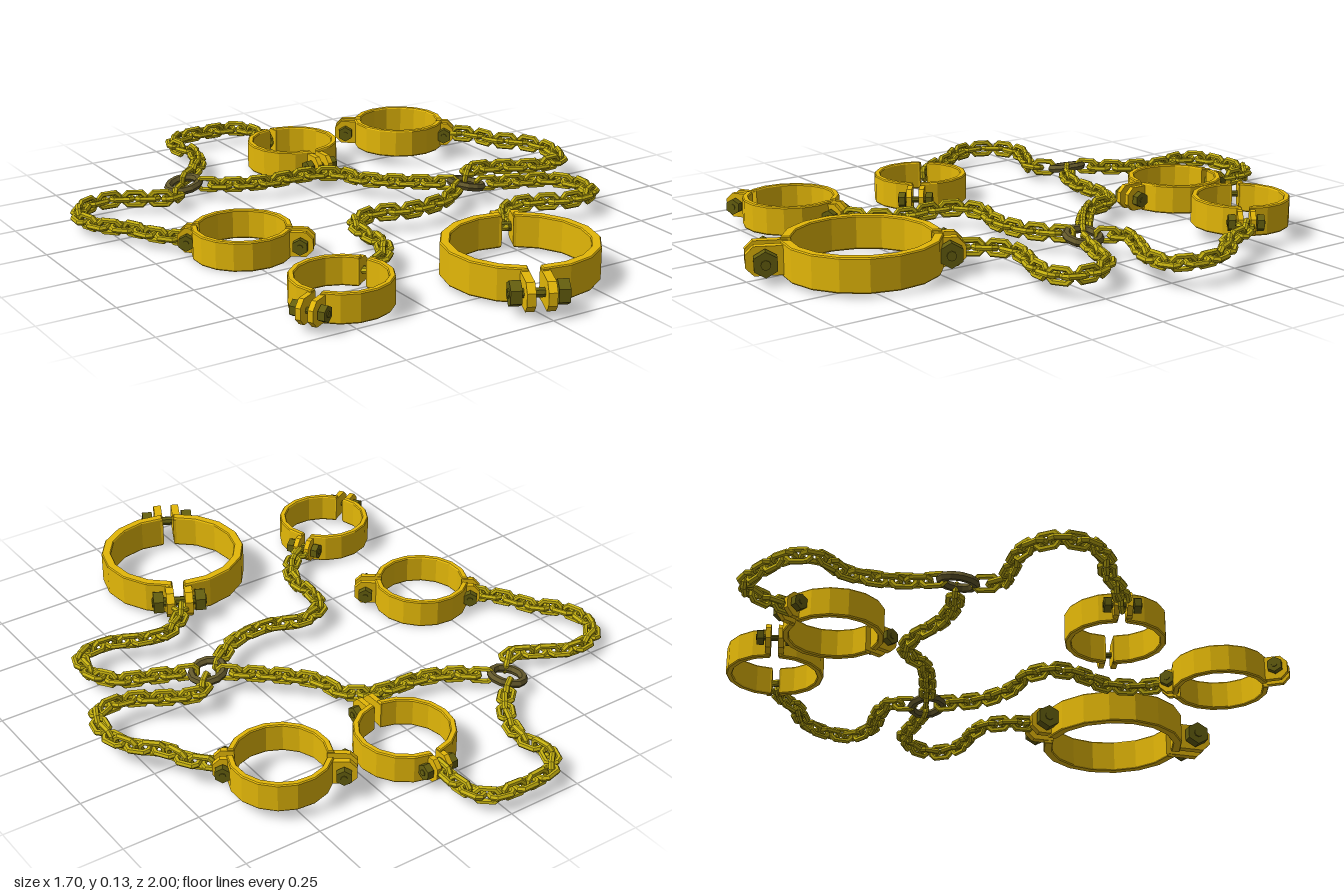
import * as THREE from 'three';
import { mergeGeometries } from 'three/addons/utils/BufferGeometryUtils.js';

const material = (color) => new THREE.MeshStandardMaterial({ color, flatShading: true });
const gold = material(0xe4b808);
const chainGold = material(0xc4b010);
const boltMetal = material(0x66600f);
const ringMetal = material(0x655a2c);

function addMesh(parent, name, geometry, mat) {
  const mesh = new THREE.Mesh(geometry, mat);
  mesh.name = name;
  parent.add(mesh);
  return mesh;
}

// Elongated octagonal link lying along z
function linkGeometry() {
  const g = new THREE.TorusGeometry(0.0225, 0.0095, 6, 8);
  g.rotateZ(Math.PI / 8);
  const p = g.attributes.position;
  for (let i = 0; i < p.count; i++) p.setX(i, p.getX(i) + Math.sign(p.getX(i)) * 0.014);
  return g.rotateY(Math.PI / 2);
}

// Chain of alternately flat and upright links, along a path of [x, z] points
function chain(name, points, yStart, yEnd) {
  const last = points.length - 1;
  const curve = new THREE.CatmullRomCurve3(points.map(([x, z], i) =>
    new THREE.Vector3(x, yStart + (yEnd - yStart) * i / last, z)));
  const count = Math.round(curve.getLength() / 0.043);
  const link = linkGeometry();
  const pose = new THREE.Object3D();
  const links = [];
  for (let i = 0; i < count; i++) {
    const u = (i + 0.5) / count;
    pose.position.copy(curve.getPointAt(u));
    pose.lookAt(pose.position.clone().add(curve.getTangentAt(u)));
    pose.rotateZ((i % 2) * Math.PI / 2 + 0.15);
    pose.updateMatrix();
    links.push(link.clone().applyMatrix4(pose.matrix));
  }
  const mesh = new THREE.Mesh(mergeGeometries(links), chainGold);
  mesh.name = name;
  return mesh;
}

// Faceted half of the hoop, open at both ends of x
function bandGeometry(s, h) {
  const outer = 0.157 * s, inner = 0.137 * s, gap = 0.09;
  const shape = new THREE.Shape();
  shape.absarc(0, 0, outer, gap, Math.PI - gap, false);
  shape.absarc(0, 0, inner, Math.PI - gap, gap, true);
  const g = new THREE.ExtrudeGeometry(shape, {
    depth: h - 0.008, curveSegments: 4, bevelThickness: 0.004, bevelSize: 0.003,
    bevelOffset: -0.003, bevelSegments: 1,
  });
  return g.translate(0, 0, -(h - 0.008) / 2).rotateX(-Math.PI / 2);
}

// Chamfered ear plate standing in the xy plane
function earGeometry(from, to, h, thickness) {
  const a = h / 2, c = h * 0.28;
  const shape = new THREE.Shape([
    [from, -a], [to - c, -a], [to, -a + c], [to, a - c], [to - c, a], [from, a],
  ].map(([x, y]) => new THREE.Vector2(x, y)));
  return new THREE.ExtrudeGeometry(shape, { depth: thickness, bevelEnabled: false })
    .translate(0, 0, -thickness / 2);
}

// Bolted cuff: two half bands, four ears and two bolts; its chain end is local +x
function shackle(name, [x, y, z], [dx, dz], s, h) {
  const group = new THREE.Group();
  group.name = name;
  group.position.set(x, y, z);
  group.rotation.y = Math.atan2(-dz, dx);
  for (const side of [0, 1]) {
    addMesh(group, 'halfBand', bandGeometry(s, h), gold).rotation.y = side * Math.PI;
  }
  [[0.165, 0.197], [0.187, 0.225]].forEach(([boltX, tip], i) => {
    const end = new THREE.Group();
    end.name = i ? 'closingEnd' : 'chainEnd';
    end.rotation.y = i * Math.PI;
    group.add(end);
    for (const side of [-1, 1]) {
      addMesh(end, 'ear', earGeometry(0.135 * s, tip * s, h * 0.84, 0.017 * s), gold)
        .position.z = side * 0.02 * s;
      const head = new THREE.CylinderGeometry(0.026 * s, 0.026 * s, 0.022 * s, 6);
      addMesh(end, side > 0 ? 'boltHead' : 'nut', head.rotateX(Math.PI / 2), boltMetal)
        .position.set(boltX * s, 0, side * 0.045 * s);
    }
    const shaft = new THREE.CylinderGeometry(0.01 * s, 0.01 * s, 0.118 * s, 8);
    addMesh(end, 'boltShaft', shaft.rotateX(Math.PI / 2), boltMetal).position.x = boltX * s;
  });
  return group;
}

export function createModel() {
  const model = new THREE.Group();
  model.name = 'chainedShackles';

  // Cuffs: position, direction towards their chain, scale, height
  model.add(
    shackle('backShackle', [0.08, 0.055, -0.59], [0, -1], 1, 0.094),
    shackle('backLeftShackle', [0.48, 0.083, -0.52], [0.145, 0.108], 1, 0.094),
    shackle('rightShackle', [-0.485, 0.048, 0.065], [-0.14, -0.11], 1, 0.094),
    shackle('frontRightShackle', [-0.45, 0.058, 0.59], [0.155, -0.092], 1, 0.094),
    shackle('collar', [0.125, 0.066, 0.675], [0.12, -0.24], 1.55, 0.108),
  );

  // Joining rings
  for (const [x, y, z, tilt] of [[-0.395, 0.048, -0.5, 0.2], [0.38, 0.065, 0.04, -0.2]]) {
    const ring = addMesh(model, 'joiningRing',
      new THREE.TorusGeometry(0.053, 0.014, 6, 12).rotateX(Math.PI / 2), ringMetal);
    ring.position.set(x, y, z);
    ring.rotation.z = tilt;
  }

  // Chains between rings and cuffs
  model.add(
    chain('backChain', [[-0.37, -0.545], [-0.31, -0.595], [-0.25, -0.675], [-0.215, -0.785],
      [-0.235, -0.87], [-0.195, -0.945], [-0.08, -0.965], [0.045, -0.945], [0.08, -0.88],
      [0.08, -0.755]], 0.05, 0.055),
    chain('rightChain', [[-0.43, -0.45], [-0.485, -0.41], [-0.565, -0.445], [-0.67, -0.495],
      [-0.775, -0.47], [-0.82, -0.385], [-0.795, -0.29], [-0.73, -0.215], [-0.69, -0.13],
      [-0.62, -0.04]], 0.046, 0.045),
    chain('middleChain', [[-0.345, -0.465], [-0.26, -0.4], [-0.155, -0.36], [0, -0.345],
      [0.09, -0.29], [0.12, -0.2], [0.18, -0.13], [0.265, -0.055], [0.345, 0.01]], 0.05, 0.065),
    chain('leftChain', [[0.41, -0.005], [0.475, -0.055], [0.56, -0.025], [0.675, 0.035],
      [0.78, 0.025], [0.815, -0.085], [0.785, -0.18], [0.715, -0.26], [0.685, -0.34],
      [0.615, -0.42]], 0.07, 0.083),
    chain('frontRightChain', [[0.335, 0.06], [0.215, 0.14], [0.08, 0.155], [-0.04, 0.12],
      [-0.13, 0.16], [-0.155, 0.25], [-0.155, 0.345], [-0.21, 0.44], [-0.305, 0.505]],
      0.065, 0.058),
    chain('collarChain', [[0.42, 0.065], [0.53, 0.11], [0.64, 0.16], [0.69, 0.25],
      [0.665, 0.34], [0.56, 0.355], [0.46, 0.315], [0.37, 0.305], [0.295, 0.355],
      [0.24, 0.44]], 0.065, 0.066),
  );
  return model;
}
